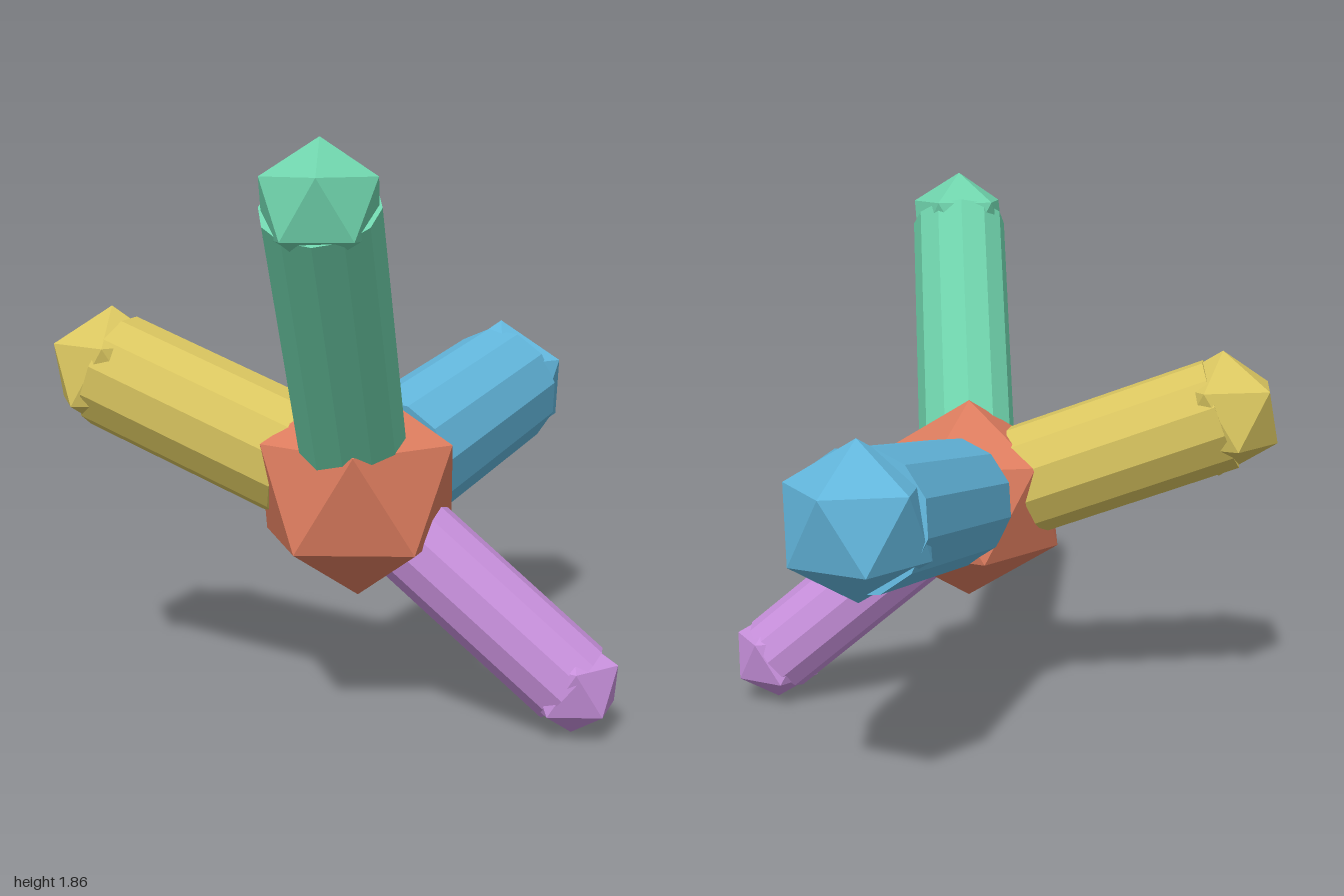
import * as THREE from 'three';

const CORE = new THREE.Vector3(-0.27, 0.752, 0.12);

// Icosahedron with a vertex at each pole and one upper-ring vertex toward +x
function poleIcosahedron(radius) {
  const g = new THREE.IcosahedronGeometry(radius, 0);
  g.rotateZ(-Math.atan2(1, (1 + Math.sqrt(5)) / 2));
  return g;
}

function material(name, color) {
  const m = new THREE.MeshStandardMaterial({ color, flatShading: true });
  m.name = name;
  return m;
}

// One arm: a prism rod starting inside the core and a faceted ball at its end
function makeArm({ name, colorName, color, tip, radius }) {
  const arm = new THREE.Group();
  arm.name = name;
  const mat = material(colorName, color);
  const end = new THREE.Vector3(...tip);
  const dir = end.clone().sub(CORE).normalize();
  const start = CORE.clone().addScaledVector(dir, 0.22);

  const rod = new THREE.Mesh(
    new THREE.CylinderGeometry(radius * 0.9, radius * 0.9, start.distanceTo(end), 12), mat);
  rod.name = name + 'Rod';
  rod.position.copy(start).add(end).multiplyScalar(0.5);
  rod.quaternion.setFromUnitVectors(new THREE.Vector3(0, 1, 0), dir);

  const ball = new THREE.Mesh(poleIcosahedron(radius), mat);
  ball.name = name + 'Tip';
  ball.position.copy(end);

  arm.add(rod, ball);
  return arm;
}

export function createModel() {
  const model = new THREE.Group();
  model.name = 'fourArmedJoint';

  // Central faceted hub
  const core = new THREE.Mesh(poleIcosahedron(0.353), material('terracotta', 0xdc7c5e));
  core.name = 'core';
  core.position.copy(CORE);
  model.add(core);

  // Four arms of different length and thickness
  const arms = [
    { name: 'upperArm', colorName: 'mint', color: 0x6fd3ac, tip: [-0.83, 1.67, 0.44], radius: 0.19 },
    { name: 'sideArm', colorName: 'sky blue', color: 0x62b6dc, tip: [0.777, 0.928, -0.035], radius: 0.248 },
    { name: 'rearArm', colorName: 'mustard', color: 0xdac660, tip: [-0.53, 1.083, -0.71], radius: 0.217 },
    { name: 'lowerArm', colorName: 'lilac', color: 0xc890dc, tip: [0.005, 0.163, 0.76], radius: 0.163 },
  ];
  for (const a of arms) model.add(makeArm(a));
  return model;
}
